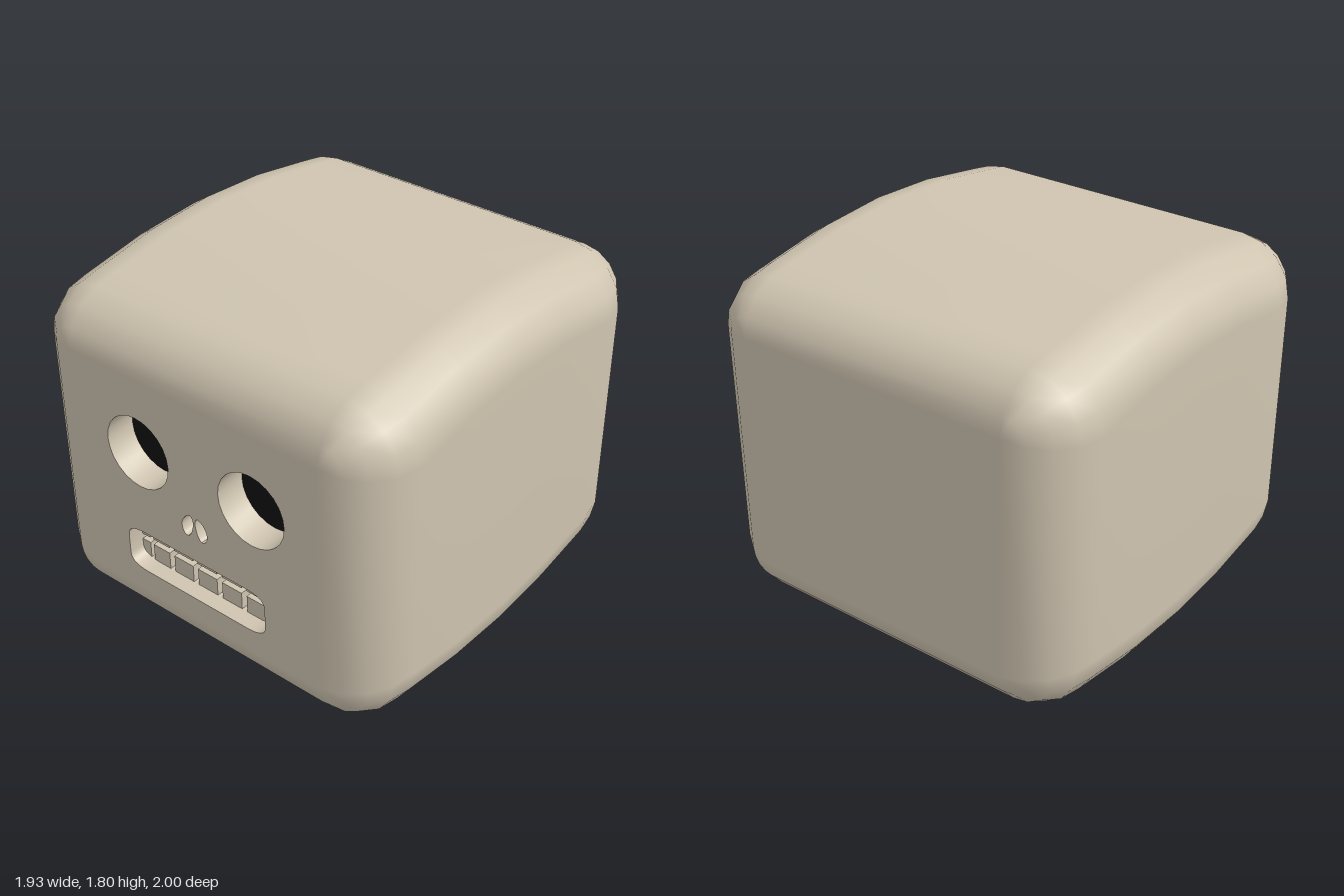
import * as THREE from 'three';
import { toCreasedNormals } from 'three/addons/utils/BufferGeometryUtils.js';

const MID = 0.9;      // height of the centre
const DEPTH = 0.15;   // depth of the face recesses
const FX = 0.685, FY = 0.58; // half size of the flat front and back

// One rounded-rectangle ring, counter-clockwise seen from the front
function ring(halfW, halfH, r, z) {
  const pts = [];
  for (let q = 0; q < 4; q++) {
    const sx = q === 0 || q === 3 ? 1 : -1, sy = q < 2 ? 1 : -1;
    for (let k = 0; k <= 4; k++) {
      const a = (q + k / 4) * Math.PI / 2;
      pts.push(sx * (halfW - r) + r * Math.cos(a), MID + sy * (halfH - r) + r * Math.sin(a), z);
    }
  }
  return pts;
}

// Rounded shell with arched top and bottom, open where the flat faces sit
function shellGeometry() {
  const sections = [];
  for (let k = 0; k <= 4; k++) {
    const s = Math.sin(k * Math.PI / 8), c = Math.cos(k * Math.PI / 8);
    sections.push([FX + 0.28 * s, FY + 0.245 * s, 0.28 * s, 0.7 + 0.3 * c]);
  }
  sections.push([0.965, 0.88, 0.28, 0.35], [0.965, 0.9, 0.28, 0]);
  const back = sections.slice(0, -1).reverse().map(([w, h, r, z]) => [w, h, r, -z]);
  const all = [...sections, ...back];
  const n = 20, pos = [], idx = [];
  all.forEach((s) => pos.push(...ring(...s)));
  for (let i = 0; i < all.length - 1; i++) {
    for (let j = 0; j < n; j++) {
      const a = i * n + j, b = i * n + (j + 1) % n;
      idx.push(a, a + n, b, b, a + n, b + n);
    }
  }
  const geo = new THREE.BufferGeometry();
  geo.setAttribute('position', new THREE.Float32BufferAttribute(pos, 3));
  geo.setIndex(idx);
  geo.computeVertexNormals();
  // Blend smoothly into the flat front and back
  const last = (all.length - 1) * n;
  for (let j = 0; j < n; j++) {
    geo.attributes.normal.setXYZ(j, 0, 0, 1);
    geo.attributes.normal.setXYZ(last + j, 0, 0, -1);
  }
  return geo;
}

function eyeShape(x) {
  return new THREE.Shape().absarc(x, 1.1, 0.181, 0, Math.PI * 2, false);
}

function nostrilShape(side) {
  const pts = [[0.007, 0.88], [0.02, 0.9], [0.05, 0.885], [0.073, 0.84], [0.062, 0.795], [0.038, 0.786], [0.015, 0.82]]
    .map(([x, y]) => new THREE.Vector2(side * x, y));
  const curve = new THREE.CatmullRomCurve3(pts.map((p) => new THREE.Vector3(p.x, p.y, 0)), true);
  return new THREE.Shape(curve.getPoints(20).slice(0, -1).map((p) => new THREE.Vector2(p.x, p.y)));
}

function mouthShape() {
  const l = -0.42, r = 0.39, b = 0.435, t = 0.66, cx = 0.11, cy = 0.06;
  const s = new THREE.Shape();
  s.moveTo(l + cx, b);
  s.lineTo(r - cx, b);
  s.quadraticCurveTo(r, b, r, b + cy);
  s.lineTo(r, t - cy);
  s.quadraticCurveTo(r, t, r - cx, t);
  s.lineTo(l + cx, t);
  s.quadraticCurveTo(l, t, l, t - cy);
  s.lineTo(l, b + cy);
  s.quadraticCurveTo(l, b, l + cx, b);
  return s;
}

export function createModel() {
  const model = new THREE.Group();
  model.name = 'skullBlock';
  const bone = new THREE.MeshStandardMaterial({ color: 0xcfc4b0 });
  const dark = new THREE.MeshStandardMaterial({ color: 0x111111 });
  const add = (name, geo, mat, parent = model) => {
    const mesh = new THREE.Mesh(geo, mat);
    mesh.name = name;
    parent.add(mesh);
    return mesh;
  };

  add('headShell', shellGeometry(), bone);
  const backFace = add('backFace', new THREE.PlaneGeometry(FX * 2, FY * 2), bone);
  backFace.rotation.y = Math.PI;
  backFace.position.set(0, MID, -1);

  // Front plate pierced by the eyes, nose and mouth, each closed by a dark back
  const recesses = {
    rightEye: eyeShape(-0.315), leftEye: eyeShape(0.332),
    rightNostril: nostrilShape(-1), leftNostril: nostrilShape(1),
    mouth: mouthShape(),
  };
  const plate = new THREE.Shape([[-FX, -FY], [FX, -FY], [FX, FY], [-FX, FY]]
    .map(([x, y]) => new THREE.Vector2(x, MID + y)));
  for (const [name, shape] of Object.entries(recesses)) {
    plate.holes.push(new THREE.Path(shape.getPoints(12)));
    add(name + 'Back', new THREE.ShapeGeometry(shape, 12), dark).position.z = 1 - DEPTH;
  }
  const front = new THREE.ExtrudeGeometry(plate, { depth: DEPTH, bevelEnabled: false });
  add('frontFace', toCreasedNormals(front, 0.6), bone).position.z = 1 - DEPTH;

  // Two rows of teeth set back inside the mouth
  const teeth = new THREE.Group();
  teeth.name = 'teeth';
  model.add(teeth);
  const columns = [[-0.43, -0.37], [-0.35, -0.25], [-0.22, -0.105], [-0.075, 0.04], [0.07, 0.185], [0.215, 0.32], [0.338, 0.4]];
  const rows = { lowerTooth: [0.425, 0.525], upperTooth: [0.555, 0.67] };
  for (const [name, [y0, y1]] of Object.entries(rows)) {
    for (const [x0, x1] of columns) {
      const tooth = add(name, new THREE.BoxGeometry(x1 - x0, y1 - y0, 0.07), bone, teeth);
      tooth.position.set((x0 + x1) / 2, (y0 + y1) / 2, 1 - DEPTH + 0.036);
    }
  }
  return model;
}
